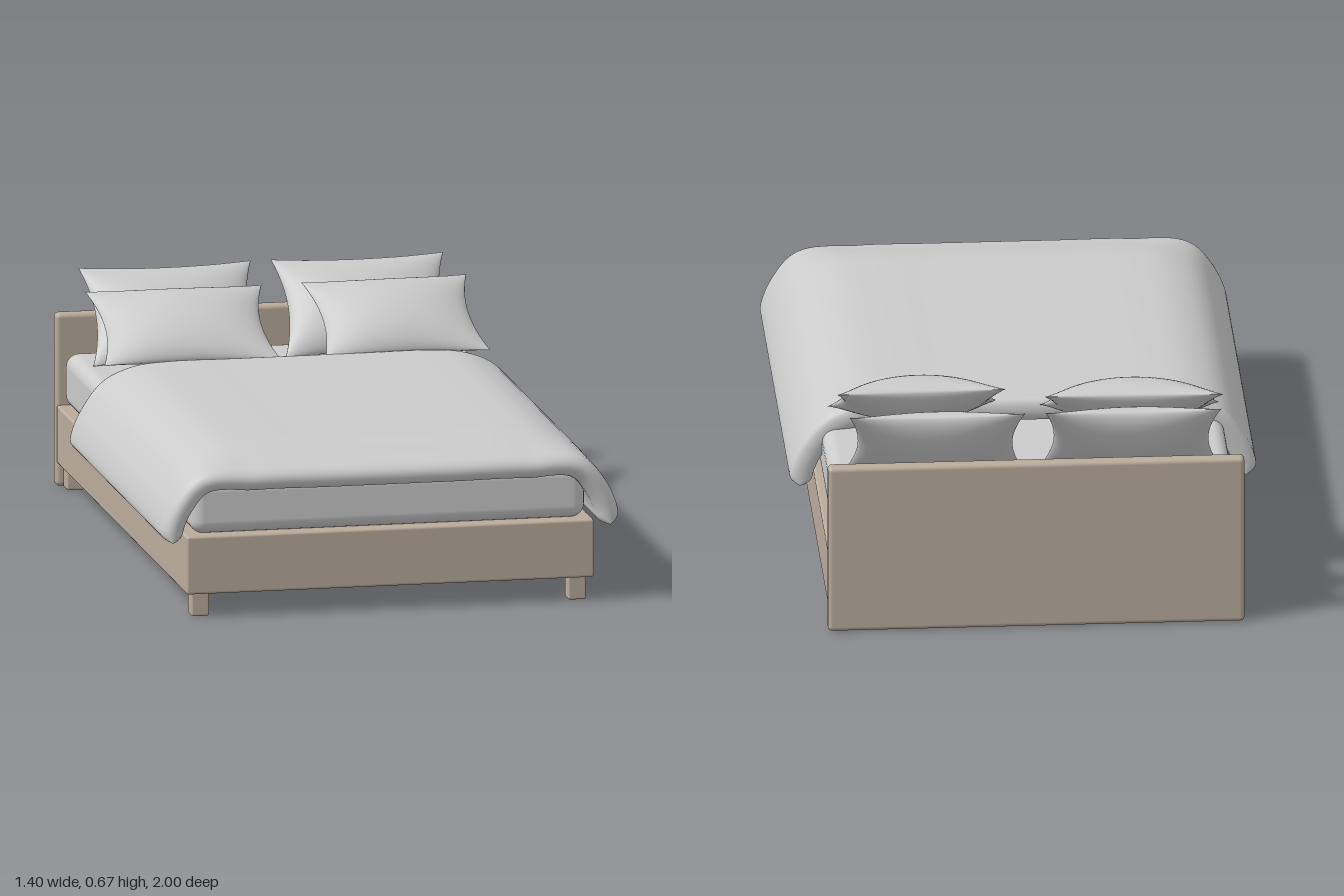
import * as THREE from 'three';
import { mergeVertices } from 'three/addons/utils/BufferGeometryUtils.js';
import { RoundedBoxGeometry } from 'three/addons/geometries/RoundedBoxGeometry.js';

const fabric = new THREE.MeshStandardMaterial({ color: 0xcccccc });
const wood = new THREE.MeshStandardMaterial({ color: 0xb9ac9c });

// Two sheets meeting at their rims: place(u, v, side, target), u and v in -1..1
function cushion(nu, nv, place) {
  const pos = [], index = [], p = new THREE.Vector3();
  const ease = (k, n) => Math.sin((k / n - 0.5) * Math.PI); // finer near the rim
  for (const side of [1, -1]) {
    const start = pos.length / 3;
    for (let j = 0; j <= nv; j++) {
      for (let i = 0; i <= nu; i++) {
        place(ease(i, nu), ease(j, nv), side, p);
        pos.push(p.x, p.y, p.z);
        if (i === nu || j === nv) continue;
        const a = start + j * (nu + 1) + i, b = a + 1, c = a + nu + 1, d = c + 1;
        if (side > 0) index.push(a, c, b, b, c, d);
        else index.push(a, b, c, b, d, c);
      }
    }
  }
  const raw = new THREE.BufferGeometry();
  raw.setAttribute('position', new THREE.Float32BufferAttribute(pos, 3));
  raw.setIndex(index);
  const geometry = mergeVertices(raw, 1e-5);
  geometry.computeVertexNormals();
  return geometry;
}

// Pillow with pulled-out corners and a lens-shaped bulge
function pillowGeometry(width, depth, thickness) {
  return cushion(32, 32, (u, v, side, p) => {
    const bulge = Math.pow(Math.max(0, (1 - u * u) * (1 - v * v)), 0.62);
    p.set(
      (width / 2) * u * (1 - 0.12 * (1 - v * v)),
      (side * thickness / 2) * bulge,
      (depth / 2) * v * (1 - 0.08 * (1 - u * u))
    );
  });
}

// Duvet: an arch over the mattress with rounded rims and a drooping front
function duvetGeometry() {
  const half = [[0.672, 0.236], [0.663, 0.285], [0.635, 0.345], [0.58, 0.415], [0.5, 0.45], [0.4, 0.46], [0.2, 0.46]];
  const points = [
    ...half.map(([x, y]) => new THREE.Vector3(-x, y, 0)),
    new THREE.Vector3(0, 0.46, 0),
    ...half.slice().reverse().map(([x, y]) => new THREE.Vector3(x, y, 0)),
  ];
  const arch = new THREE.CatmullRomCurve3(points, false, 'centripetal');
  arch.arcLengthDivisions = 600;
  const halfLength = arch.getLength() / 2;
  const { smoothstep } = THREE.MathUtils;
  const rim = (distance, r) => {
    const k = 1 - Math.min(1, Math.max(0, distance) / r);
    return Math.sqrt(Math.max(0, 1 - k * k));
  };
  const zBack = -0.408;
  return cushion(100, 60, (u, v, side, p) => {
    const t = Math.min(1, Math.max(0, (u + 1) / 2));
    const c = arch.getPointAt(t), tan = arch.getTangentAt(t);
    const x = Math.abs(c.x);
    const zFront = 0.997 - 0.02 * Math.pow(x / 0.7, 4);
    const z = zBack + (zFront - zBack) * (v + 1) / 2;
    const h = 0.035 * rim((1 - Math.abs(u)) * halfLength, 0.03) * rim(z - zBack, 0.02) * rim(zFront - z, 0.045);
    const droop = 0.042 * smoothstep(z, 0.74, 1) * (1 - smoothstep(x, 0.42, 0.64));
    p.set(c.x - tan.y * h * side, c.y + tan.x * h * side - droop, z);
  });
}

export function createModel() {
  const bed = new THREE.Group();
  bed.name = 'bed';

  const add = (name, geometry, material, x, y, z) => {
    const mesh = new THREE.Mesh(geometry, material);
    mesh.name = name;
    mesh.position.set(x, y, z);
    bed.add(mesh);
    return mesh;
  };
  const box = (w, h, d, r) => new RoundedBoxGeometry(w, h, d, 4, r);

  // Wooden frame
  add('bedFrame', box(1.25, 0.178, 1.92, 0.008), wood, 0, 0.161, 0);
  add('headboard', box(1.254, 0.53, 0.045, 0.014), wood, 0, 0.265, -0.9775);
  for (const x of [-0.578, 0.578]) {
    add('frontLeg', box(0.055, 0.08, 0.058, 0.006), wood, x, 0.04, 0.907);
    add('backLeg', box(0.055, 0.08, 0.058, 0.006), wood, x, 0.04, -0.895 - 0.03);
  }

  // Bedding
  add('mattress', box(1.21, 0.166, 1.885, 0.04), fabric, 0, 0.332, -0.005);
  add('duvet', duvetGeometry(), fabric, 0, 0, 0);

  // Pillows: name, width, depth, centre, tilt, turn
  const pillows = [
    ['rearPillowRight', 0.53, 0.34, [-0.296, 0.543, -0.835], 0.85, 0],
    ['rearPillowLeft', 0.53, 0.34, [0.294, 0.543, -0.835], 0.85, 0],
    ['frontPillowRight', 0.54, 0.365, [-0.315, 0.56, -0.583], 0.45, -0.025],
    ['frontPillowLeft', 0.51, 0.36, [0.33, 0.568, -0.546], 0.48, 0.025],
  ];
  for (const [name, width, depth, centre, tilt, turn] of pillows) {
    const pillow = add(name, pillowGeometry(width, depth, 0.135), fabric, ...centre);
    pillow.rotation.set(tilt, turn, 0, 'YXZ');
  }
  return bed;
}
